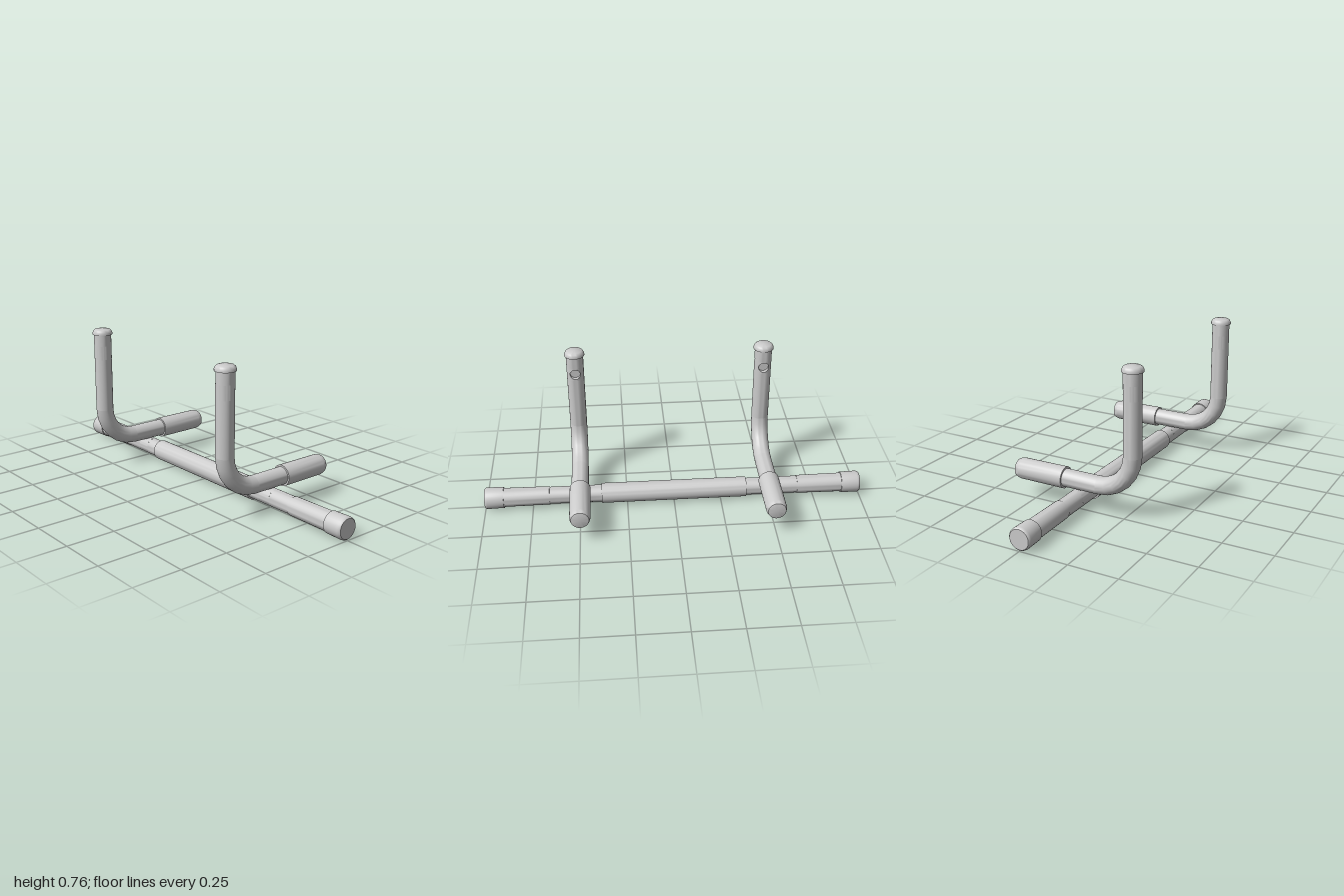
import * as THREE from 'three';
import { mergeGeometries, toCreasedNormals } from 'three/addons/utils/BufferGeometryUtils.js';

const material = new THREE.MeshStandardMaterial({ color: 0xcccccc });
const SIDES = 32;
const PIPE = 0.045; // bare pipe radius
const HALF = 0.036; // half size of the pipe section around a bolt hole

function mesh(name, geometry, parent) {
  const m = new THREE.Mesh(toCreasedNormals(geometry, 0.7), material);
  m.name = name;
  parent.add(m);
  return m;
}

// Turned part around local y from [radius, y] pairs, listed bottom to top
function turned(name, profile, parent) {
  const points = profile.map(([r, y]) => new THREE.Vector2(r, y));
  return mesh(name, new THREE.LatheGeometry(points, SIDES), parent);
}

// Open pipe wall between two heights
function wall(r, y0, y1) {
  return new THREE.CylinderGeometry(r, r, y1 - y0, SIDES, 1, true).translate(0, (y0 + y1) / 2, 0);
}

// Pipe section with a drilled recess on its +x side
function drilled(r, y, hole = 0.027, floor = 0.022) {
  const phi = HALF / r;
  const back = new THREE.CylinderGeometry(r, r, HALF * 2, SIDES, 1, true, Math.PI / 2 + phi, 2 * Math.PI - 2 * phi);
  const positions = [], uvs = [], index = [];
  const loops = 5, n = 32;
  for (let k = 0; k < loops; k++) {
    for (let j = 0; j <= n; j++) {
      const t = (j / n) * Math.PI * 2, c = Math.cos(t), s = Math.sin(t);
      const m = Math.max(Math.abs(c), Math.abs(s));
      // square rim, halfway, hole rim, foot of the hole, centre of the floor
      const f = Math.min(k / 2, 1);
      const angle = THREE.MathUtils.lerp((phi * c) / m, Math.asin((hole * c) / r), f);
      const v = THREE.MathUtils.lerp((HALF * s) / m, hole * s, f);
      if (k < 3) positions.push(r * Math.cos(angle), v, -r * Math.sin(angle));
      else if (k === 3) positions.push(floor, hole * s, -hole * c);
      else positions.push(floor, 0, 0);
      uvs.push(j / n, k / (loops - 1));
    }
  }
  for (let k = 0; k < loops - 1; k++) {
    for (let j = 0; j < n; j++) {
      const a = k * (n + 1) + j, c = a + n + 1;
      index.push(a, a + 1, c);
      if (k < loops - 2) index.push(a + 1, c + 1, c);
    }
  }
  const patch = new THREE.BufferGeometry();
  patch.setAttribute('position', new THREE.Float32BufferAttribute(positions, 3));
  patch.setAttribute('uv', new THREE.Float32BufferAttribute(uvs, 2));
  patch.setIndex(index);
  patch.computeVertexNormals();
  return mergeGeometries([back, patch]).translate(0, y, 0);
}

// Bent arm: upright with a bolt hole, quarter bend, and a padded foot along +x
function createArm(z) {
  const arm = new THREE.Group();
  arm.name = 'arm';
  arm.position.z = z;
  const x = -0.293, y = 0.145, bend = 0.18, holeY = 0.64;

  const upright = mergeGeometries([
    wall(PIPE, y + bend, holeY - HALF),
    drilled(PIPE, holeY),
    wall(PIPE, holeY + HALF, 0.74),
  ]);
  mesh('upright', upright, arm).position.x = x;

  const elbow = mesh('elbow', new THREE.TorusGeometry(bend, PIPE, SIDES, 6, Math.PI / 2), arm);
  elbow.rotation.z = Math.PI;
  elbow.position.set(x + bend, y + bend, 0);

  const foot = mesh('lowerTube', wall(PIPE, x + bend, 0.08), arm);
  foot.rotation.z = -Math.PI / 2;
  foot.position.y = y;

  turned('topCap', [[0, 0.735], [0.052, 0.735], [0.052, 0.744], [0.047, 0.755], [0.04, 0.761], [0, 0.763]], arm)
    .position.x = x;

  const grip = turned('handGrip',
    [[0, 0.073], [0.054, 0.073], [0.053, 0.316], [0.051, 0.328], [0.046, 0.342], [0.04, 0.344], [0, 0.344]], arm);
  grip.rotation.z = -Math.PI / 2;
  grip.position.y = y;
  return arm;
}

// Long bar, built along local y and laid along z with its holes facing down
function createBar() {
  const bar = new THREE.Group();
  bar.name = 'mainBar';
  const basis = new THREE.Matrix4().makeBasis(
    new THREE.Vector3(0, -1, 0), new THREE.Vector3(0, 0, 1), new THREE.Vector3(-1, 0, 0));
  bar.quaternion.setFromRotationMatrix(basis);
  bar.position.y = 0.057;

  turned('centreGrip', [[0, -0.385], [0.053, -0.385], [0.053, 0.385], [0, 0.385]], bar);
  for (const side of [-1, 1]) {
    const h = 0.495;
    const spans = [[0.38, h - HALF], [h + HALF, 0.67]].map(([a, b]) =>
      side > 0 ? wall(PIPE, a, b) : wall(PIPE, -b, -a));
    mesh('bareTube', mergeGeometries([...spans, drilled(PIPE, side * h)]), bar);

    const end = new THREE.Group();
    end.name = 'barEnd';
    if (side < 0) end.rotation.x = Math.PI;
    turned('outerSleeve', [[0, 0.66], [0.048, 0.66], [0.05, 0.91], [0, 0.91]], end);
    turned('endCap', [[0, 0.9], [0.055, 0.9], [0.057, 0.985], [0.055, 0.995], [0.05, 1], [0, 1]], end);
    bar.add(end);
  }
  return bar;
}

export function createModel() {
  const model = new THREE.Group();
  model.name = 'pullUpBar';
  model.add(createBar());
  for (const side of [-1, 1]) model.add(createArm(side * 0.495));
  return model;
}
